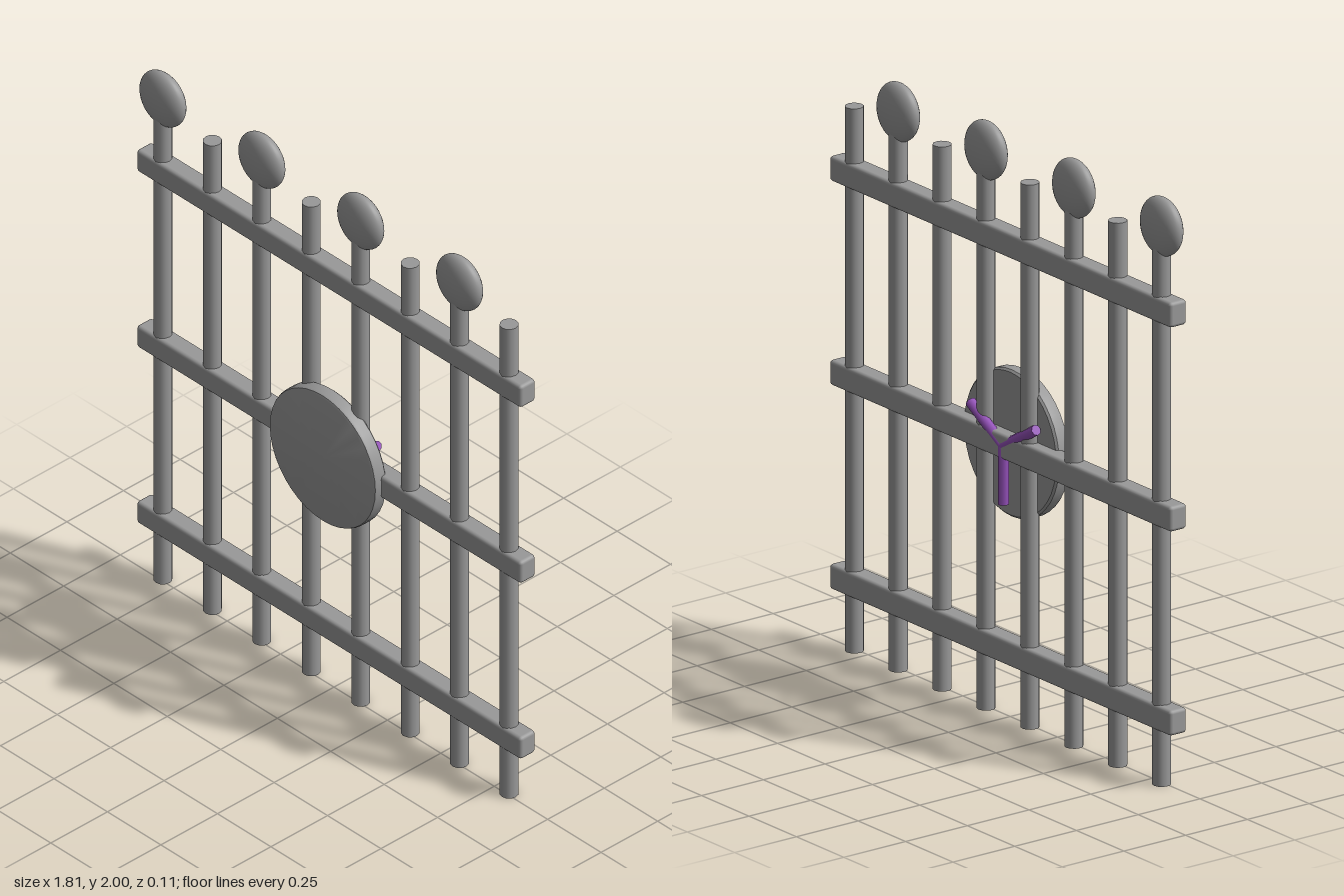
import * as THREE from 'three';
import { RoundedBoxGeometry } from 'three/addons/geometries/RoundedBoxGeometry.js';
import { toCreasedNormals } from 'three/addons/utils/BufferGeometryUtils.js';

const iron = new THREE.MeshStandardMaterial({ name: 'greyIron', color: 0x999999 });
const purple = new THREE.MeshStandardMaterial({ name: 'purple', color: 0x9350b8 });

const PLANE_Z = -0.009; // middle plane of the fence
const HUB_Y = 0.93;

function add(group, name, geometry, material, x, y, z) {
  const mesh = new THREE.Mesh(geometry, material);
  mesh.name = name;
  mesh.position.set(x, y, z);
  group.add(mesh);
  return mesh;
}

export function createModel() {
  const model = new THREE.Group();
  model.name = 'fencePanel';

  // Upright bars, every other one topped by a flattened ball
  const barGeo = new THREE.CylinderGeometry(0.031, 0.031, 1.855, 12);
  const finialGeo = new THREE.SphereGeometry(1, 32, 20).scale(0.1, 0.1, 0.044);
  for (let i = 0; i < 8; i++) {
    const x = -0.81 + (i * 1.62) / 7;
    add(model, 'uprightBar', barGeo, iron, x, 1.855 / 2, PLANE_Z);
    if (i % 2 === 0) add(model, 'finial', finialGeo, iron, x, 1.9, PLANE_Z);
  }

  // Cross rails with softened edges
  const railGeo = new RoundedBoxGeometry(1.8, 0.086, 0.068, 2, 0.012);
  for (const y of [0.235, HUB_Y, 1.625]) add(model, 'crossRail', railGeo, iron, 0, y, PLANE_Z);

  // Round plate on the front with a softened rim
  const profile = [
    [0, 0], [0.243, 0], [0.25, 0.007], [0.25, 0.043], [0.247, 0.05], [0.24, 0.053], [0, 0.053],
  ].map(([r, h]) => new THREE.Vector2(r, h));
  const plateGeo = toCreasedNormals(new THREE.LatheGeometry(profile, 40), 0.6);
  plateGeo.rotateX(Math.PI / 2);
  add(model, 'roundPlate', plateGeo, iron, 0, HUB_Y, 0);

  // Three spokes behind the plate, one pointing straight down
  const spokeGeo = new THREE.CylinderGeometry(0.018, 0.018, 0.2, 8).translate(0, 0.1, 0);
  for (let i = 0; i < 3; i++) {
    const spoke = add(model, 'spoke', spokeGeo, purple, 0, HUB_Y, -0.028);
    spoke.rotation.z = Math.PI + (i * 2 * Math.PI) / 3;
  }

  return model;
}
